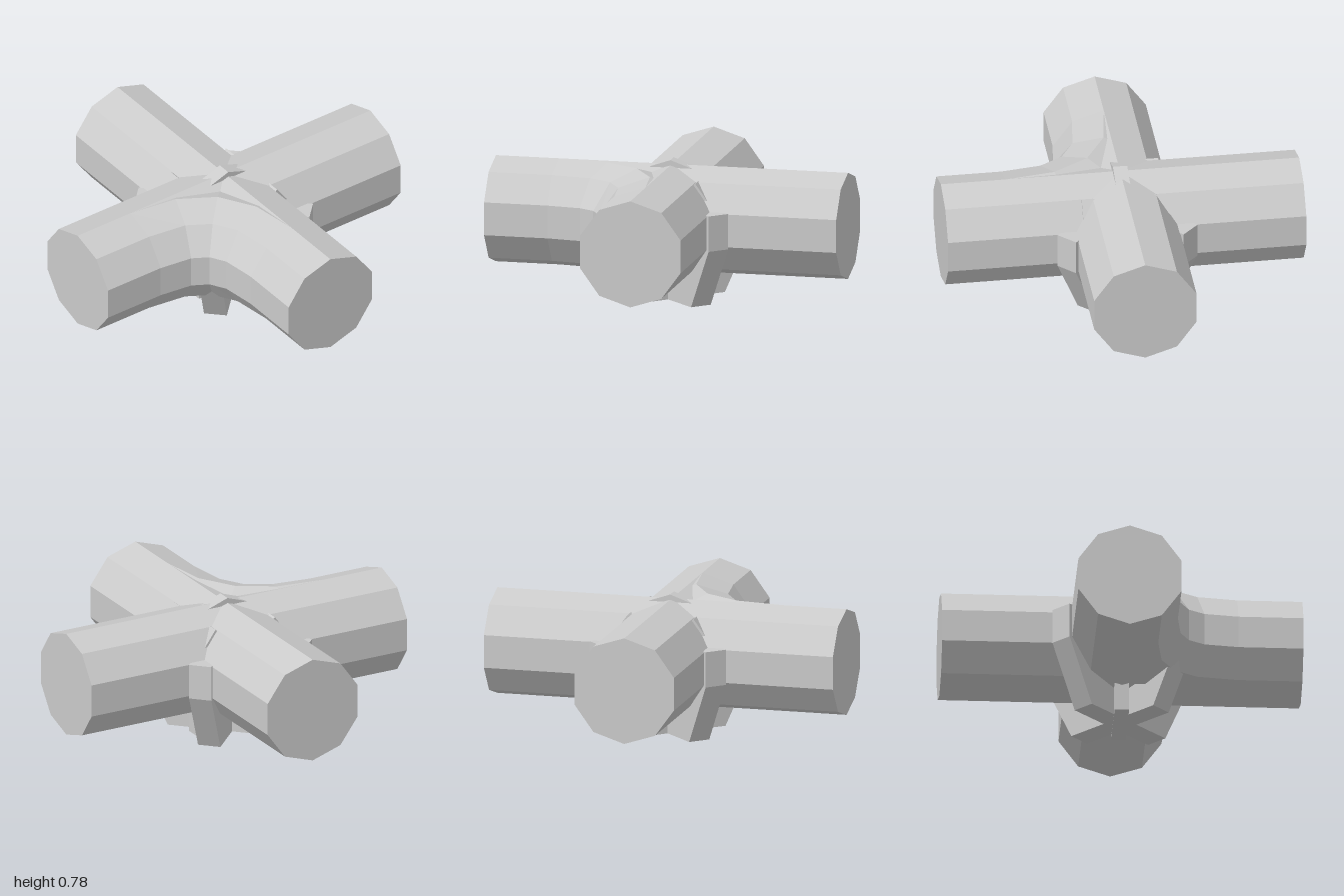
import * as THREE from 'three';

const R = 0.3, SIDES = 10, AXIS_Y = 0.45;

export function createModel() {
  const model = new THREE.Group();
  const mat = new THREE.MeshStandardMaterial({ color: 0xcccccc, flatShading: true });
  const add = (name, geo) => {
    const mesh = new THREE.Mesh(geo, mat);
    mesh.name = name;
    model.add(mesh);
    return mesh;
  };

  // Two straight ten-sided pipes crossing at the centre, ridge upward
  for (const [name, turn] of [['pipeFrontBack', 0], ['pipeLeftRight', Math.PI / 2]]) {
    const geo = new THREE.CylinderGeometry(R, R, 2, SIDES).rotateX(Math.PI / 2).rotateY(turn);
    add(name, geo).position.y = AXIS_Y;
  }

  // Elbow joining the front and left arms
  add('elbow', elbowGeometry());

  // Extrudes a side profile, centred on its thickness
  const plate = (points, width) => new THREE.ExtrudeGeometry(
    new THREE.Shape(points.map(([x, y]) => new THREE.Vector2(x, y))),
    { depth: width, bevelEnabled: false }
  ).translate(0, 0, -width / 2);

  // Crossed diagonal cradles with sloped feet
  const half = [[0.304, 0.003], [0.488, 0.35], [0.488, 0.55]];
  const cradle = [...half, ...half.map(([x, y]) => [-x, y]).reverse()];
  for (const s of [1, -1]) add('cradle', plate(cradle, 0.128).rotateY(s * Math.PI / 4));

  // Centre spine: low keel below, small roof-shaped cap on top
  const spine = [[-0.2, 0], [0.2, 0], [0.2, 0.3], [0.14, 0.731], [0, 0.78], [-0.14, 0.731], [-0.2, 0.3]];
  add('spine', plate(spine, 0.08).rotateY(Math.PI / 2));

  // Small pads lying on the shoulders of the crossing
  for (const x of [-0.2, 0.2]) for (const z of [-1, 1]) {
    const pad = add('shoulderPad', new THREE.BoxGeometry(0.08, 0.04, 0.12));
    pad.position.set(x, 0.637, z * 0.208);
    pad.rotation.x = z * 0.3 * Math.PI;
  }
  return model;
}

// Ten-sided tube swept along a quarter bend
function elbowGeometry() {
  const at = (x, z) => new THREE.Vector3(x, AXIS_Y, z);
  const bend = new THREE.QuadraticBezierCurve3(at(0, 0.64), at(0, 0), at(0.64, 0));
  const steps = 4, pos = [], index = [];
  for (let i = 0; i <= steps; i++) {
    const c = bend.getPoint(i / steps), t = bend.getTangent(i / steps);
    for (let j = 0; j < SIDES; j++) {
      const a = Math.PI / 2 + (j / SIDES) * Math.PI * 2, w = R * Math.cos(a);
      pos.push(c.x + w * t.z, c.y + R * Math.sin(a), c.z - w * t.x);
      if (i === steps) continue;
      const p = i * SIDES + j, q = i * SIDES + (j + 1) % SIDES;
      index.push(p, q, q + SIDES, p, q + SIDES, p + SIDES);
    }
  }
  const geo = new THREE.BufferGeometry();
  geo.setAttribute('position', new THREE.Float32BufferAttribute(pos, 3));
  geo.setIndex(index);
  const flat = geo.toNonIndexed();
  flat.computeVertexNormals();
  return flat;
}
